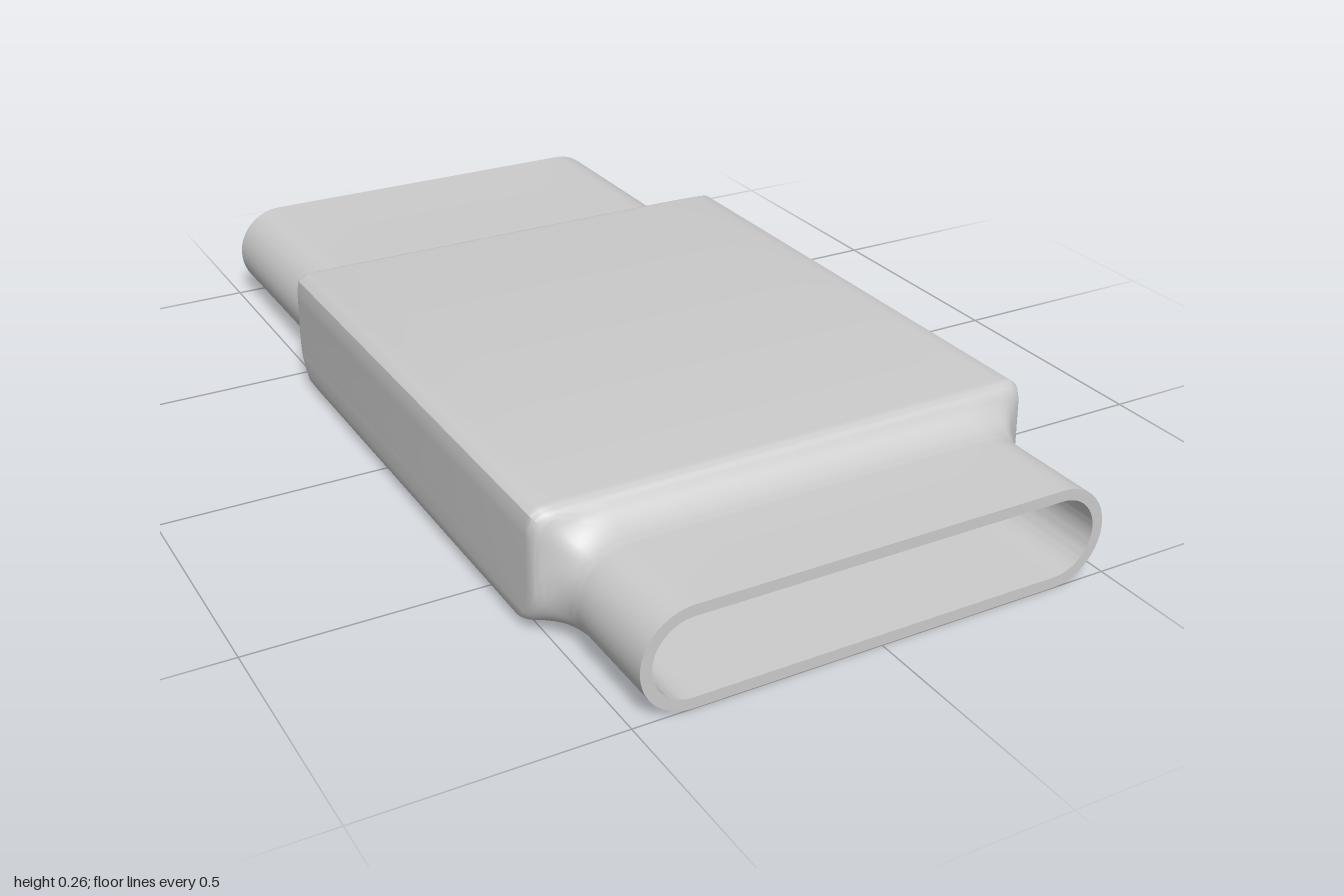
import * as THREE from 'three';
import { toCreasedNormals } from 'three/addons/utils/BufferGeometryUtils.js';

const CX = 0.383, CY = 0.1025, R = 0.1025; // slot half spacing, axis height, radius
const HALF_W = 0.532, TOP = 0.26, CORNER = 0.03;

// Loop of arc centres and directions, counter-clockwise seen from the front
function slotLoop() {
  const loop = [], n = 32;
  for (const side of [1, -1]) {
    for (let i = 0; i <= n; i++) {
      const a = (i / n - 0.5) * Math.PI + (side < 0 ? Math.PI : 0);
      loop.push({ cx: side * CX, dx: Math.cos(a), dy: Math.sin(a) });
    }
    for (let i = 1; i < 6; i++) loop.push({ cx: side * CX * (1 - i / 3), dx: 0, dy: side });
  }
  return loop;
}

const slotPoint = (p, r) => [p.cx + p.dx * r, CY + p.dy * r];

// Signed distance to the rounded rectangle of the housing
function housingDistance(x, y) {
  const qx = Math.abs(x) - HALF_W + CORNER;
  const qy = Math.abs(y - TOP / 2) - TOP / 2 + CORNER;
  return Math.hypot(Math.max(qx, 0), Math.max(qy, 0)) + Math.min(Math.max(qx, qy), 0) - CORNER;
}

// Where a slot direction meets the housing outline
function housingPoint(p) {
  let lo = 0, hi = 0.5;
  for (let i = 0; i < 30; i++) {
    const mid = (lo + hi) / 2;
    if (housingDistance(...slotPoint(p, mid)) < 0) lo = mid; else hi = mid;
  }
  return slotPoint(p, Math.max(lo, R));
}

// Shell section: s = share of the way from slot to housing, z pulled back near the bottom
function blend(p, s, z, dir) {
  const a = slotPoint(p, R), b = housingPoint(p);
  const low = Math.min(1, Math.max(0, (CY - b[1]) / CY));
  const pull = 0.1 * (1 - Math.sqrt(1 - low * low)) * s;
  return [a[0] + (b[0] - a[0]) * s, a[1] + (b[1] - a[1]) * s, z - dir * pull];
}

// Concave fillet followed by a small convex rounding: [share, distance from fillet foot]
function shoulderSteps() {
  const steps = [];
  for (let i = 0; i <= 10; i++) {
    const a = (i / 10) * 1.15;
    steps.push([0.75 * (1 - Math.cos(a)) / (1 - Math.cos(1.15)), 0.08 * Math.sin(a) / Math.sin(1.15)]);
  }
  for (let i = 1; i <= 6; i++) {
    const a = 0.35 + (i / 6) * (Math.PI / 2 - 0.35);
    const f = (Math.sin(a) - Math.sin(0.35)) / (1 - Math.sin(0.35));
    steps.push([0.75 + 0.25 * f, 0.08 + 0.032 * (1 - Math.cos(a) / Math.cos(0.35))]);
  }
  return steps;
}

function loft(rings) {
  const n = rings[0].length, index = [];
  for (let i = 0; i < rings.length - 1; i++) {
    for (let j = 0; j < n; j++) {
      const k = (j + 1) % n, a = i * n + j, b = i * n + k;
      index.push(a, b, a + n, b, b + n, a + n);
    }
  }
  const g = new THREE.BufferGeometry();
  g.setAttribute('position', new THREE.Float32BufferAttribute(rings.flat(2), 3));
  g.setIndex(index);
  return toCreasedNormals(g, 0.6);
}

export function createModel() {
  const group = new THREE.Group();
  const material = new THREE.MeshStandardMaterial({ color: 0xcccccc });
  const thin = new THREE.MeshStandardMaterial({ color: 0xcccccc, side: THREE.DoubleSide });
  const add = (name, geometry, mat) => {
    const mesh = new THREE.Mesh(geometry, mat);
    mesh.name = name;
    group.add(mesh);
    return mesh;
  };

  // Housing with both slot sleeves, lofted from the rear cavity around to the front cavity
  const loop = slotLoop();
  const slotRing = (r, z) => loop.map(p => [...slotPoint(p, r), z]);
  const steps = shoulderSteps();
  const wallZ = 0.67, frontR = 0.08, rearR = 0.092;
  add('housing', loft([
    slotRing(0, -0.1), slotRing(rearR, -0.1), slotRing(rearR, -1), slotRing(R, -1),
    ...steps.map(([s, d]) => loop.map(p => blend(p, s, -0.555 + d, -1))),
    ...[...steps].reverse().map(([s, d]) => loop.map(p => blend(p, s, 0.79 - d, 1))),
    slotRing(R, 1), slotRing(frontR, 1), slotRing(frontR, wallZ),
  ]), material);

  // Wall inside the front slot, with three round holes
  const holeXs = [-0.404, 0.015, 0.404], holeR = 0.056;
  const wall = new THREE.Shape(loop.map(p => new THREE.Vector2(...slotPoint(p, frontR))));
  for (const x of holeXs) wall.holes.push(new THREE.Path().absarc(x, CY, holeR, 0, Math.PI * 2, true));
  add('frontWall', new THREE.ShapeGeometry(wall, 16), thin).position.z = wallZ;

  // Blind holes with conical ends
  const profile = [[0, -0.24], [holeR, -0.2], [holeR, 0]].map(v => new THREE.Vector2(...v));
  for (const x of holeXs) {
    const hole = add('blindHole', toCreasedNormals(new THREE.LatheGeometry(profile, 32), 0.6), thin);
    hole.rotation.x = Math.PI / 2;
    hole.position.set(x, CY, wallZ);
  }
  return group;
}
